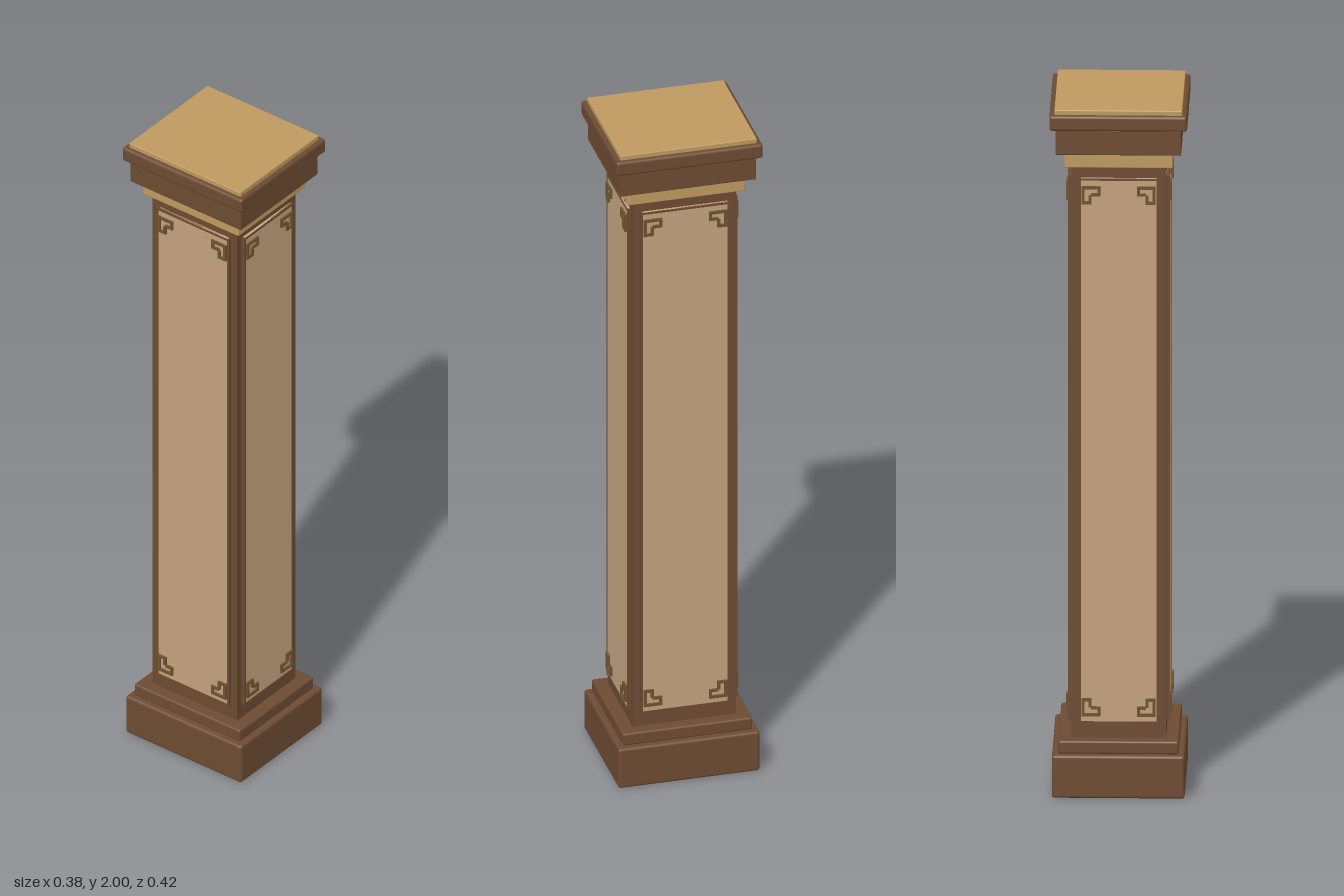
import * as THREE from 'three';
import { RoundedBoxGeometry } from 'three/addons/geometries/RoundedBoxGeometry.js';

const mat = (name, color) => {
  const m = new THREE.MeshStandardMaterial({ color });
  m.name = name;
  return m;
};

export function createModel() {
  const brown = mat('dark wood', 0x6d4b32);
  const tan = mat('pale panel', 0xc4a27e);
  const gold = mat('gold trim', 0xbf9a60);
  const bronze = mat('bronze ornament', 0x6e5431);

  const column = new THREE.Group();
  column.name = 'column';

  const add = (parent, name, geometry, material, x = 0, y = 0, z = 0) => {
    const mesh = new THREE.Mesh(geometry, material);
    mesh.name = name;
    mesh.position.set(x, y, z);
    parent.add(mesh);
    return mesh;
  };

  // Stacked slabs: name, half width, half depth, bottom, top, edge radius, material
  const slabs = [
    ['basePlinth', 0.185, 0.204, 0, 0.124, 0.008, brown],
    ['baseStep', 0.168, 0.187, 0.124, 0.162, 0.006, brown],
    ['capitalNeck', 0.151, 0.169, 1.824, 1.869, 0.003, gold],
    ['capitalBlock', 0.175, 0.196, 1.869, 1.942, 0.003, brown],
    ['capitalCornice', 0.192, 0.211, 1.942, 1.986, 0.008, brown],
    ['topPlate', 0.178, 0.197, 1.975, 2, 0.003, gold],
  ];
  for (const [name, hx, hz, y0, y1, r, m] of slabs) {
    add(column, name, new RoundedBoxGeometry(hx * 2, y1 - y0, hz * 2, 2, r), m, 0, (y0 + y1) / 2, 0);
  }

  // Shaft core, showing at the corners and at both ends
  const HX = 0.132, HZ = 0.149;
  add(column, 'shaftCore', new THREE.BoxGeometry(HX * 2, 1.68, HZ * 2), brown, 0, 0.99, 0);

  // Hooked corner fret, drawn outwards from its corner at the origin
  const T = 0.008, S = 0.052;
  const fretBars = [
    [0, 0, S, T], [S - T, 0, S, 0.028], [0.026, 0.02, S, 0.028],
    [0, 0, T, S], [0, S - T, 0.028, S], [0.02, 0.026, 0.028, S],
  ];
  const makeFret = (sx, sy) => {
    const fret = new THREE.Group();
    fret.name = 'cornerFret';
    for (const [x0, y0, x1, y1] of fretBars) {
      add(fret, 'fretBar', new THREE.BoxGeometry(x1 - x0, y1 - y0, 0.006), bronze,
        -sx * (x0 + x1) / 2, -sy * (y0 + y1) / 2, 0);
    }
    return fret;
  };

  // One face: raised panel, thin frame and four frets; z = 0 is the core surface
  const Y0 = 0.205, Y1 = 1.79, YC = (Y0 + Y1) / 2, H = Y1 - Y0, F = 0.006;
  const makeFace = (half) => {
    const face = new THREE.Group();
    face.name = 'shaftFace';
    add(face, 'panel', new THREE.BoxGeometry(half * 2, H, 0.008), tan, 0, YC, 0.004);
    for (const s of [-1, 1]) {
      add(face, 'frameSide', new THREE.BoxGeometry(F, H, 0.01), brown, s * (half + F / 2), YC, 0.005);
      add(face, 'frameEnd', new THREE.BoxGeometry(half * 2, F, 0.01), brown, 0, YC + s * (H / 2 - F / 2), 0.005);
      for (const t of [-1, 1]) {
        const fret = makeFret(s, t);
        fret.position.set(s * (half - 0.002), YC + t * (H / 2 - 0.022), 0.012);
        face.add(fret);
      }
    }
    return face;
  };
  for (let i = 0; i < 4; i++) {
    const side = i % 2 === 1;
    const face = makeFace(side ? 0.122 : 0.105);
    const a = i * Math.PI / 2, d = side ? HX : HZ;
    face.rotation.y = a;
    face.position.set(Math.sin(a) * d, 0, Math.cos(a) * d);
    column.add(face);
  }
  return column;
}
